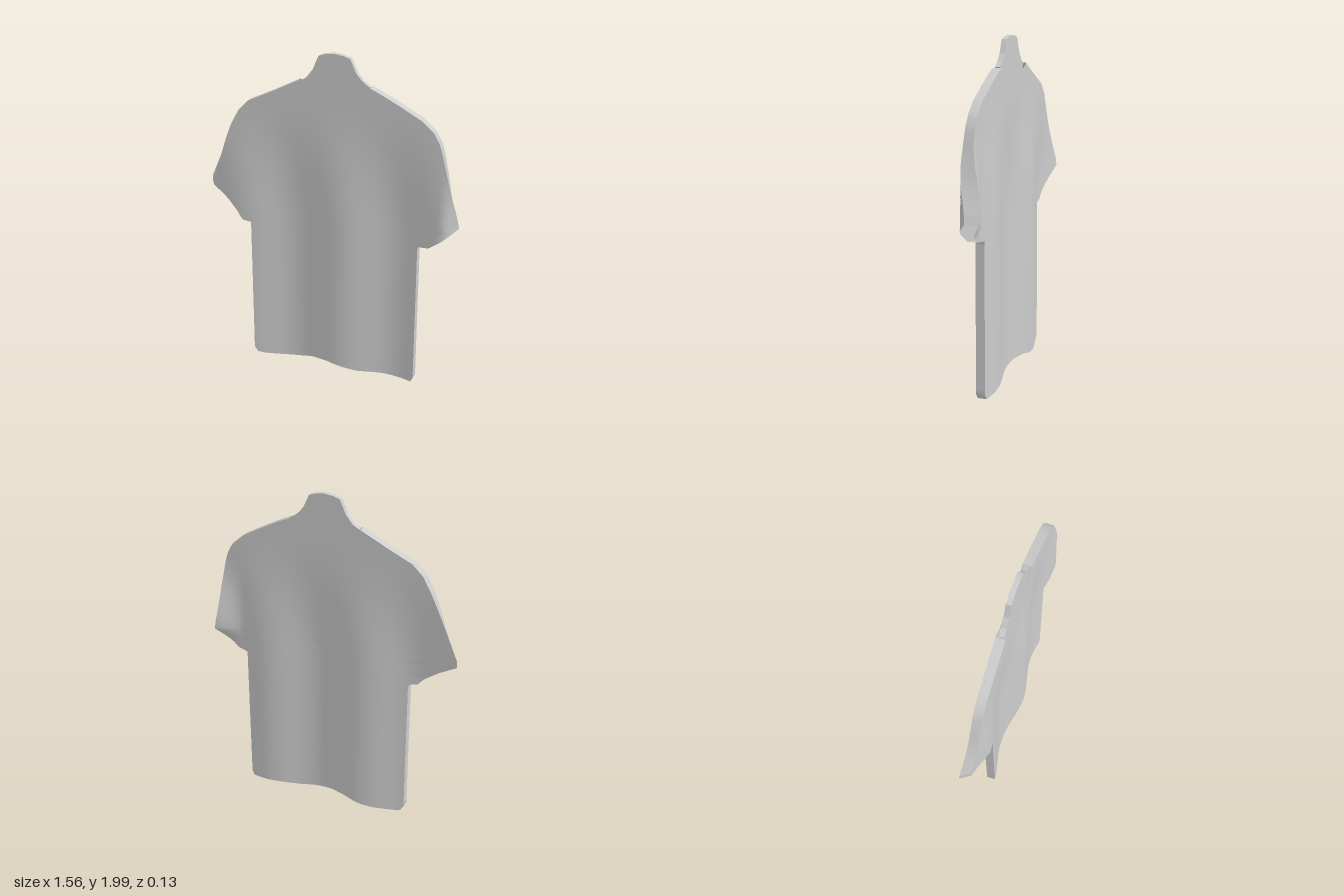
import * as THREE from 'three';

const smooth = THREE.MathUtils.smoothstep;

// Piecewise-linear lookup through [key, value] pairs
function lerpTable(t, k) {
  if (k <= t[0][0]) return t[0][1];
  for (let i = 1; i < t.length; i++) {
    const [a, va] = t[i - 1], [b, vb] = t[i];
    if (k <= b) return va + (vb - va) * (k - a) / (b - a);
  }
  return t[t.length - 1][1];
}

// Outline: edge x for each height, and the neckline and hem heights across x
const RIGHT_SIDE = [[0, -0.47], [0.03, -0.49], [0.925, -0.485], [0.935, -0.54], [0.98, -0.58], [1.05, -0.67],
  [1.12, -0.78], [1.16, -0.775], [1.35, -0.685], [1.53, -0.6], [1.62, -0.55], [1.68, -0.49], [1.75, -0.34], [1.83, -0.18]];
const LEFT_SIDE = [[0, 0.54], [0.03, 0.555], [0.925, 0.55], [0.935, 0.62], [0.99, 0.69], [1.065, 0.78],
  [1.12, 0.77], [1.35, 0.715], [1.5, 0.675], [1.56, 0.655], [1.62, 0.62], [1.68, 0.55], [1.75, 0.42], [1.81, 0.3], [1.83, 0.25]];
const NECK = [[-0.18, 1.83], [-0.14, 1.805], [-0.09, 1.8], [0.02, 1.865], [0.06, 1.865], [0.17, 1.8], [0.21, 1.807], [0.25, 1.83]];
const HEM = [[-0.49, 0.02], [-0.42, 0.01], [-0.3, 0.01], [-0.2, 0.02], [-0.1, 0.043], [0, 0.047], [0.1, 0.034],
  [0.2, 0.02], [0.35, 0.02], [0.54, 0.01]];

// Row heights: even steps plus every outline corner
const rows = [...new Set([
  ...Array.from({ length: 62 }, (_, i) => +(i * 0.03).toFixed(3)),
  ...RIGHT_SIDE.map((p) => p[0]), ...LEFT_SIDE.map((p) => p[0]),
])].sort((a, b) => a - b);
const COLS = 72;

// A point on the front or back cloth; u runs across the shirt
function clothPoint(front, u, y) {
  const sleeve = smooth(y, 0.93, 1.08) * (1 - smooth(y, 1.1, 1.55));
  const x0 = lerpTable(RIGHT_SIDE, y) + (front ? 0.04 * sleeve : 0);
  const x1 = lerpTable(LEFT_SIDE, y) - (front ? 0 : 0.035 * sleeve);
  const x = x0 + (x1 - x0) * u;
  // vertical folds that fade out toward the shoulders
  const fold = 0.024 * (1 - smooth(y, 1.0, 1.72)) * Math.cos((x - 0.1) * 2 * Math.PI / 0.63);
  let z = (front ? 0.036 : -0.017) + fold;
  // curled cuff of the left sleeve
  z -= front ? 0.055 * sleeve * smooth(x, 0.69, 0.79) : 0.075 * sleeve * smooth(x, 0.56, 0.75);
  const py = y + (lerpTable(NECK, x) - 1.83) * smooth(y, 1.62, 1.83)
    + lerpTable(HEM, x) * (1 - smooth(y, 0, 0.5));
  return [x, py, z];
}

// Grid surface from rows of points
function gridGeometry(lines, flip) {
  const n = lines[0].length, index = [];
  for (let r = 0; r < lines.length - 1; r++) {
    for (let c = 0; c < n - 1; c++) {
      const a = r * n + c, b = a + 1, d = a + n, e = d + 1;
      index.push(...(flip ? [a, d, b, b, d, e] : [a, b, d, b, e, d]));
    }
  }
  const g = new THREE.BufferGeometry();
  g.setAttribute('position', new THREE.Float32BufferAttribute(lines.flat(2), 3));
  g.setIndex(index);
  g.computeVertexNormals();
  return g;
}

export function createModel() {
  const model = new THREE.Group();
  model.name = 'shirt';
  const cloth = new THREE.MeshStandardMaterial({ color: 0xcccccc, side: THREE.DoubleSide });
  cloth.name = 'light grey cloth';
  const add = (name, geometry) => {
    const mesh = new THREE.Mesh(geometry, cloth);
    mesh.name = name;
    model.add(mesh);
  };

  // Front and back cloth with their sleeves
  for (const front of [true, false]) {
    const lines = rows.map((y) => Array.from({ length: COLS + 1 }, (_, c) => clothPoint(front, c / COLS, y)));
    add(front ? 'frontPanel' : 'backPanel', gridGeometry(lines, !front));
  }

  // Narrow side and shoulder strips; the cuffs and hem stay open
  for (const [side, u, cuffTop] of [['right', 0, 1.12], ['left', 1, 1.065]]) {
    const strip = (name, ys) => add(side + name,
      gridGeometry(ys.map((y) => [clothPoint(true, u, y), clothPoint(false, u, y)]), u === 0));
    strip('SideSeam', rows.filter((y) => y <= 0.935));
    strip('ShoulderSeam', rows.filter((y) => y >= cuffTop));
  }

  // Flat collar piece held between the two panels
  const collar = new THREE.Shape([
    [-0.17, 1.825], [-0.13, 1.85], [-0.09, 1.9], [-0.055, 1.98], [-0.02, 1.993], [0.035, 2], [0.09, 1.993], [0.13, 1.98],
    [0.165, 1.905], [0.2, 1.865], [0.24, 1.835], [0.21, 1.795], [0.17, 1.785], [0.04, 1.85], [-0.09, 1.785], [-0.14, 1.79],
  ].map(([x, y]) => new THREE.Vector2(x, y)));
  const collarGeometry = new THREE.ExtrudeGeometry(collar, { depth: 0.03, bevelEnabled: false });
  collarGeometry.translate(0, 0, -0.005);
  add('collar', collarGeometry);

  return model;
}
